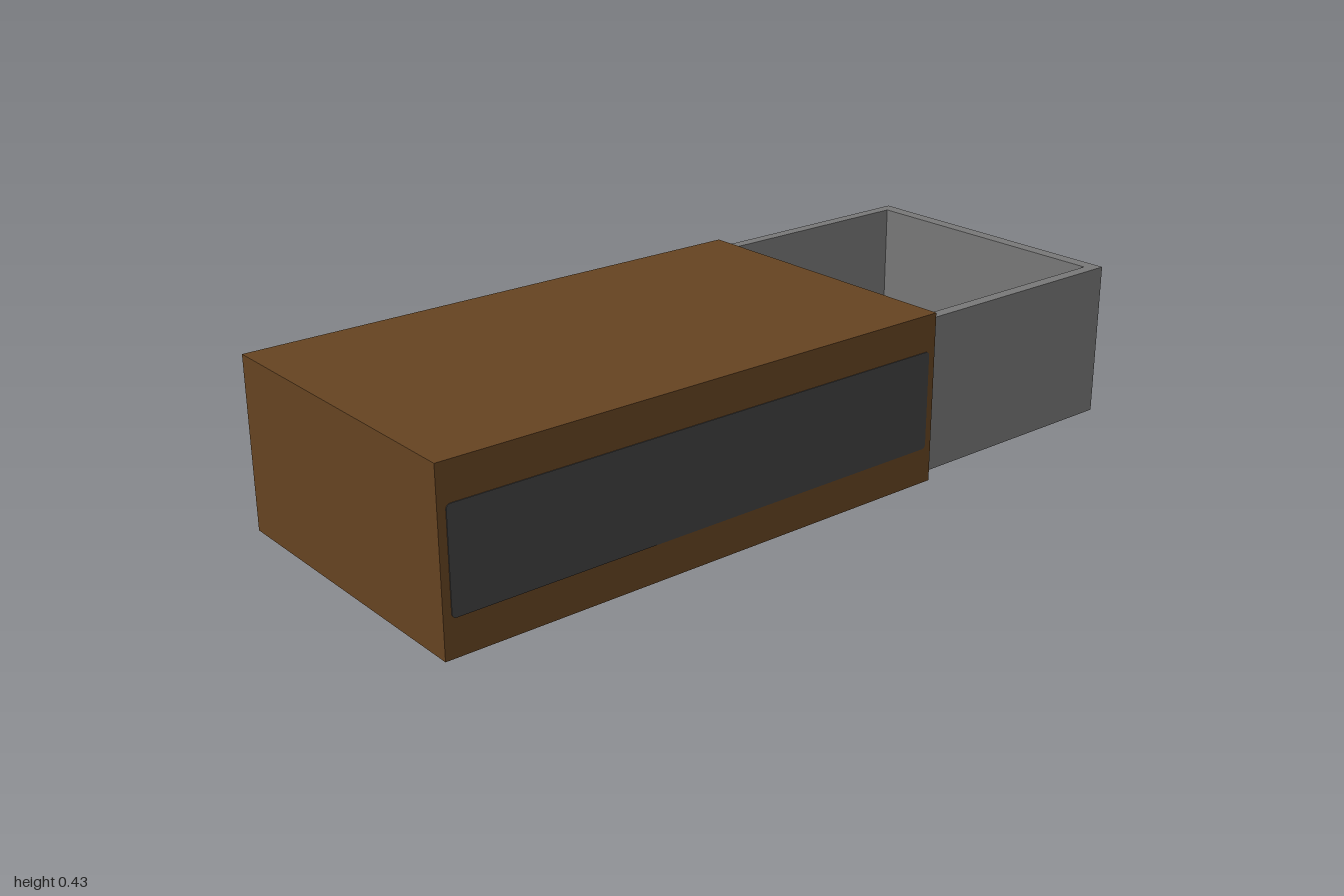
import * as THREE from 'three';

// Rectangular path, usable as an outline or a hole
function rect(path, x0, y0, x1, y1) {
  path.moveTo(x0, y0);
  path.lineTo(x1, y0);
  path.lineTo(x1, y1);
  path.lineTo(x0, y1);
  path.closePath();
  return path;
}

// Extruded rectangular frame; outer and inner are [x0, y0, x1, y1]
function frame(outer, inner, depth) {
  const shape = rect(new THREE.Shape(), ...outer);
  shape.holes.push(rect(new THREE.Path(), ...inner));
  return new THREE.ExtrudeGeometry(shape, { depth, bevelEnabled: false });
}

function roundedRect(w, h, r) {
  const s = new THREE.Shape(), x = w / 2, y = h / 2;
  s.moveTo(-x + r, -y);
  s.lineTo(x - r, -y).quadraticCurveTo(x, -y, x, -y + r);
  s.lineTo(x, y - r).quadraticCurveTo(x, y, x - r, y);
  s.lineTo(-x + r, y).quadraticCurveTo(-x, y, -x, y - r);
  s.lineTo(-x, -y + r).quadraticCurveTo(-x, -y, -x + r, -y);
  return s;
}

function material(name, color) {
  const m = new THREE.MeshStandardMaterial({ color });
  m.name = name;
  return m;
}

export function createModel() {
  const brown = material('brown card', 0x654321);
  const grey = material('grey card', 0x777777);
  const dark = material('dark striking surface', 0x404040);
  const model = new THREE.Group();
  model.name = 'matchbox';

  function add(name, geometry, mat, x, y, z, parent = model) {
    const mesh = new THREE.Mesh(geometry, mat);
    mesh.name = name;
    mesh.position.set(x, y, z);
    parent.add(mesh);
    return mesh;
  }

  // Outer sleeve: hollow along x, closed at the right end
  const H = 0.428, W = 0.393, end = 0.375, wall = 0.012;
  const sleeve = new THREE.Group();
  sleeve.name = 'sleeve';
  model.add(sleeve);
  const tube = frame([-W, 0, W, H], [-0.383, 0.019, 0.383, 0.413], end + 1 - wall);
  tube.rotateY(Math.PI / 2);
  add('sleeveWalls', tube, brown, -1 + wall, 0, 0, sleeve);
  add('sleeveEnd', new THREE.BoxGeometry(wall, H, W * 2), brown, -1 + wall / 2, H / 2, 0, sleeve);

  // Striking strip on the front
  const strip = new THREE.ExtrudeGeometry(roundedRect(1.335, 0.247, 0.012), { depth: 0.003, bevelEnabled: false });
  add('strikingStrip', strip, dark, -0.3125, 0.2135, W - 0.001);

  // Open tray, pulled halfway out to the left
  const tray = new THREE.Group();
  tray.name = 'tray';
  model.add(tray);
  const x0 = -0.37, x1 = 1, z = 0.382, tx = 0.035, tz = 0.03, base = 0.02, top = 0.412;
  const walls = frame([x0, -z, x1, z], [x0 + tx, -z + tz, x1 - tx, z - tz], top - base);
  walls.rotateX(-Math.PI / 2);
  add('trayWalls', walls, grey, 0, base, 0, tray);
  add('trayFloor', new THREE.BoxGeometry(x1 - x0 - 2 * tx, 0.03, 2 * (z - tz)), grey, (x0 + x1) / 2, base + 0.015, 0, tray);

  return model;
}
